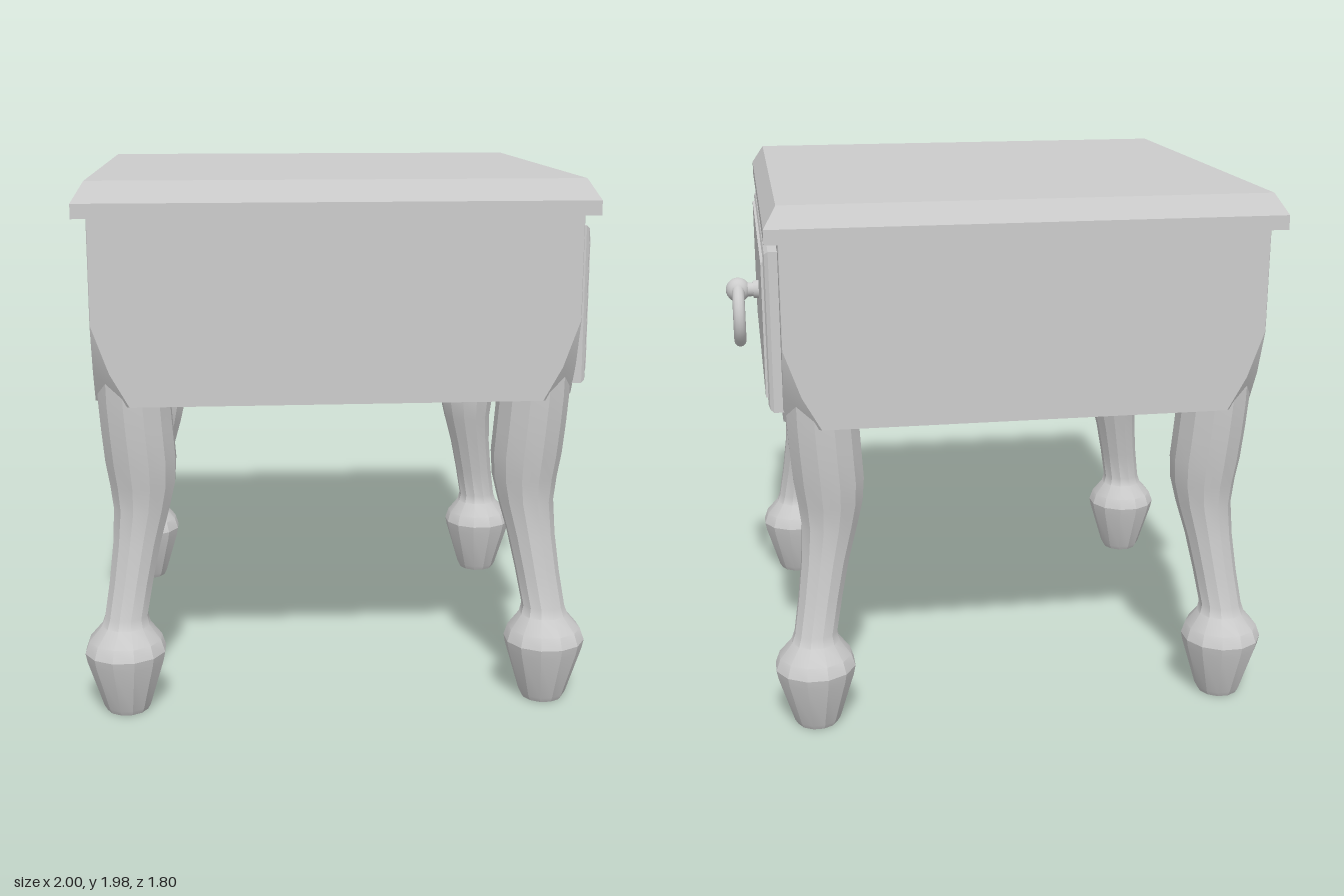
import * as THREE from 'three';
import { toCreasedNormals } from 'three/addons/utils/BufferGeometryUtils.js';

const material = new THREE.MeshStandardMaterial({ color: 0xcccccc });
const CX = -0.06;              // cabinet centre in x (the handle sticks out at +x)
const HX = 0.873, HZ = 0.837;  // cabinet half sizes

// Skin a stack of closed convex rings, bottom to top, with both ends capped.
function loft(rings, crease = 0.45) {
  const n = rings[0].length;
  const index = [];
  for (let i = 0; i < rings.length - 1; i++) {
    for (let j = 0; j < n; j++) {
      const a = i * n + j, b = i * n + (j + 1) % n;
      index.push(a, a + n, b + n, a, b + n, b);
    }
  }
  const top = (rings.length - 1) * n;
  for (let j = 1; j < n - 1; j++) {
    index.push(0, j, j + 1, top, top + j + 1, top + j);
  }
  const geometry = new THREE.BufferGeometry();
  geometry.setAttribute('position', new THREE.Float32BufferAttribute(rings.flat(2), 3));
  geometry.setIndex(index);
  return toCreasedNormals(geometry, crease);
}

// Rectangle at height y
const rect = (y, hx, hz) => [[hx, y, -hz], [hx, y, hz], [-hx, y, hz], [-hx, y, -hz]];

// Rectangle with its corners cut by c
const cutRect = (y, hx, hz, c) => [
  [hx, y, c - hz], [hx, y, hz - c], [hx - c, y, hz], [c - hx, y, hz],
  [-hx, y, hz - c], [-hx, y, c - hz], [c - hx, y, -hz], [hx - c, y, -hz],
];

// Twelve-sided ring with flats facing the axes; w is the half width across flats
function ring12(x, y, z, w) {
  const r = w / Math.cos(Math.PI / 12);
  return Array.from({ length: 12 }, (_, k) => {
    const a = (k + 0.5) * Math.PI / 6;
    return [x + r * Math.cos(a), y, z + r * Math.sin(a)];
  });
}

function add(parent, name, geometry, x = 0, y = 0, z = 0) {
  const mesh = new THREE.Mesh(geometry, material);
  mesh.name = name;
  mesh.position.set(x, y, z);
  parent.add(mesh);
  return mesh;
}

// Curved leg: height, inset from the cabinet corner, half width
const LEG = [
  [0, 0.083, 0.075], [0.02, 0.083, 0.086], [0.2, 0.082, 0.14], [0.235, 0.082, 0.147],
  [0.28, 0.083, 0.132], [0.335, 0.086, 0.088], [0.37, 0.088, 0.078], [0.5, 0.11, 0.08],
  [0.64, 0.133, 0.087], [0.77, 0.154, 0.102], [0.86, 0.159, 0.118], [0.95, 0.155, 0.128],
  [1.07, 0.146, 0.129], [1.18, 0.139, 0.129], [1.32, 0.137, 0.13],
];

export function createModel() {
  const group = new THREE.Group();

  // Cabinet whose lower corners taper into the legs
  add(group, 'cabinet', loft([
    cutRect(1.178, HX, HZ, 0.13), cutRect(1.3, HX, HZ, 0.062),
    cutRect(1.47, HX, HZ, 0.002), cutRect(1.85, HX, HZ, 0.002),
  ], 0.3), CX);

  // Table top with a bevelled rim
  add(group, 'tableTop', loft([
    rect(1.85, 0.921, 0.881), rect(1.902, 0.921, 0.881), rect(1.976, 0.875, 0.836),
  ], 0.3), CX);

  // Four legs, bowing outwards along the diagonals
  for (const sx of [-1, 1]) {
    for (const sz of [-1, 1]) {
      const rings = LEG.map(([y, inset, w]) =>
        ring12(CX + sx * (HX - inset), y, sz * (HZ - inset), w));
      add(group, (sz > 0 ? 'front' : 'back') + (sx > 0 ? 'Left' : 'Right') + 'Leg', loft(rings));
    }
  }

  // Drawer front on the +x side: moulded border and raised panel
  const drawer = new THREE.Group();
  drawer.name = 'drawer';
  group.add(drawer);
  const steps = [[0.8, 0], [0.845, 0], [0.858, 0.01], [0.863, 0.024], [0.856, 0.044], [0.871, 0.045]];
  const front = loft(steps.map(([d, inset]) => rect(d, 0.29 - inset, 0.735 - inset)), 0.3);
  add(drawer, 'drawerFront', front.rotateZ(-Math.PI / 2), 0, 1.51, 0);

  // Handle: flange, stem, knob and hanging ring
  const handle = new THREE.Group();
  handle.name = 'handle';
  drawer.add(handle);
  const flange = new THREE.CylinderGeometry(0.034, 0.038, 0.026, 16).rotateZ(-Math.PI / 2);
  add(handle, 'handleFlange', flange, 0.88, 1.512, 0);
  const stem = new THREE.CylinderGeometry(0.028, 0.028, 0.06, 16).rotateZ(-Math.PI / 2);
  add(handle, 'handleStem', stem, 0.905, 1.512, 0);
  add(handle, 'handleKnob', new THREE.SphereGeometry(0.048, 20, 14), 0.952, 1.512, 0);
  const ring = new THREE.TorusGeometry(0.107, 0.024, 12, 32).rotateY(Math.PI / 2);
  add(handle, 'handleRing', ring, 0.952, 1.414, 0);

  return group;
}
